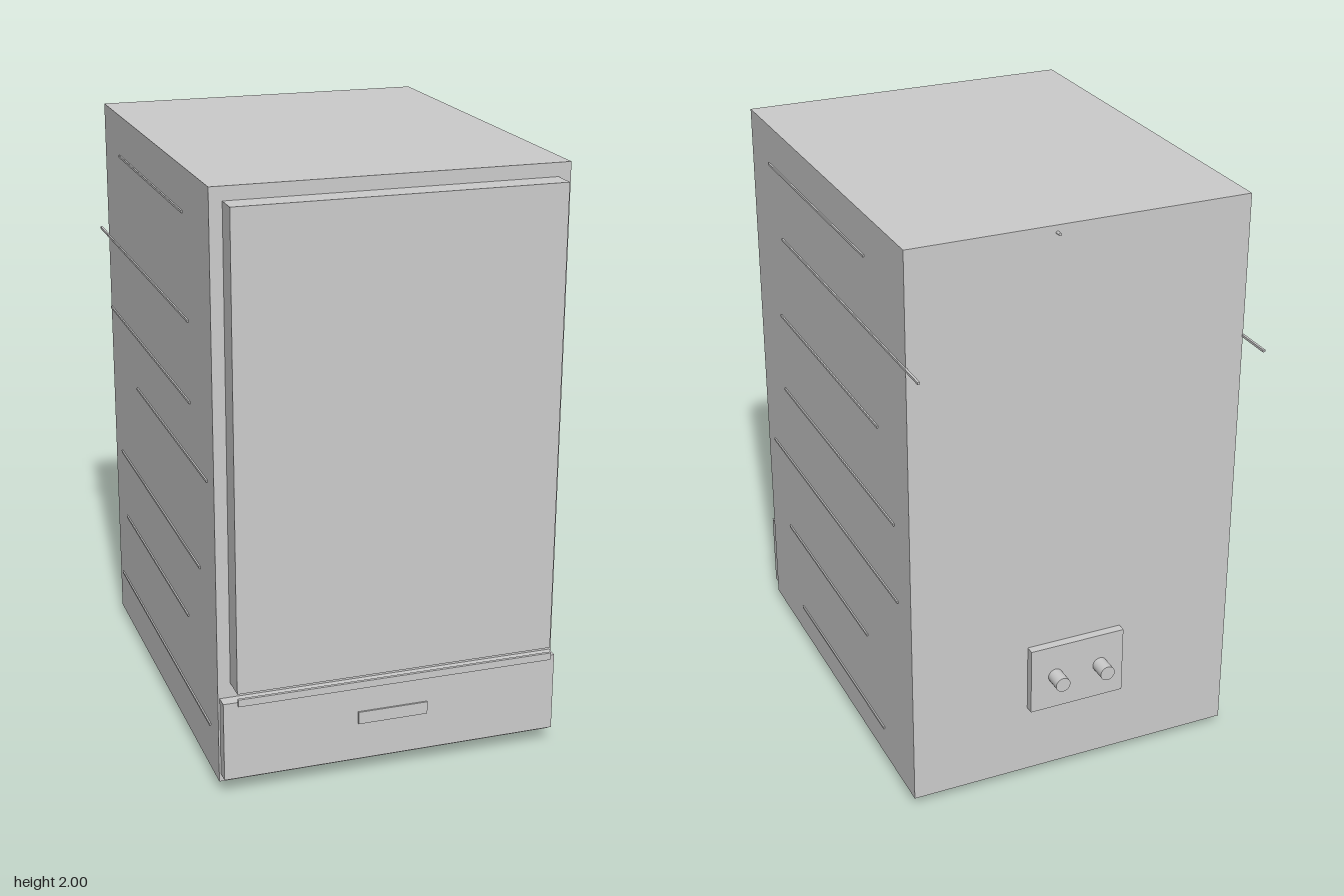
import * as THREE from 'three';

export function createModel() {
  const root = new THREE.Group();
  const mat = new THREE.MeshStandardMaterial({ color: 0xcccccc });

  const add = (name, geo, x, y, z) => {
    const m = new THREE.Mesh(geo, mat);
    m.name = name;
    m.position.set(x, y, z);
    root.add(m);
    return m;
  };
  // Box given by its limits on each axis
  const box = (name, x0, x1, y0, y1, z0, z1) =>
    add(name, new THREE.BoxGeometry(x1 - x0, y1 - y0, z1 - z0),
      (x0 + x1) / 2, (y0 + y1) / 2, (z0 + z1) / 2);

  // Cabinet, door and lower drawer
  box('cabinet', -0.582, 0.582, 0.03, 2, -0.7, 0.737);
  box('door', -0.54, 0.54, 0.38, 1.955, 0.737, 0.82);
  box('doorTrim', -0.54, 0.54, 0.34, 0.365, 0.82, 0.83);
  box('drawer', -0.576, 0.576, 0.057, 0.33, 0.737, 0.78);
  box('drawerHandle', -0.12, 0.12, 0.187, 0.23, 0.78, 0.786);

  // Thin side grooves: [height, back z, front z]
  const ribs = {
    left: [[1.86, -0.37, 0.55], [1.62, -0.805, 0.44], [1.31, -0.45, 0.5], [1.02, -0.575, 0.5],
      [0.74, -0.59, 0.66], [0.435, -0.29, 0.525], [0.14, -0.43, 0.415]],
    right: [[1.855, -0.465, 0.42], [1.515, -0.83, 0.466], [1.245, -0.69, 0.466], [1.05, -0.295, 0.66],
      [0.71, -0.59, 0.55], [0.465, -0.54, 0.38], [0.19, -0.65, 0.64]],
  };
  for (const side of ['left', 'right']) {
    const x = side === 'left' ? 0.583 : -0.583;
    for (const [y, z0, z1] of ribs[side])
      box(side + 'SideRib', x - 0.004, x + 0.004, y - 0.004, y + 0.004, z0, z1);
  }

  // Rear connection plate with two pipe stubs
  box('rearPlate', -0.17, 0.17, 0.28, 0.52, -0.73, -0.7);
  for (const x of [-0.084, 0.081])
    add('pipeStub', new THREE.CylinderGeometry(0.026, 0.026, 0.06, 24), x, 0.404, -0.76)
      .rotation.x = Math.PI / 2;

  // Small pin near the top of the back
  add('rearPin', new THREE.CylinderGeometry(0.005, 0.005, 0.02, 12), 0.087, 1.976, -0.71)
    .rotation.x = Math.PI / 2;

  // Feet
  for (const x of [-0.445, 0.445])
    for (const z of [0.57, -0.525])
      add('foot', new THREE.CylinderGeometry(0.061, 0.061, 0.03, 32), x, 0.015, z);

  return root;
}
